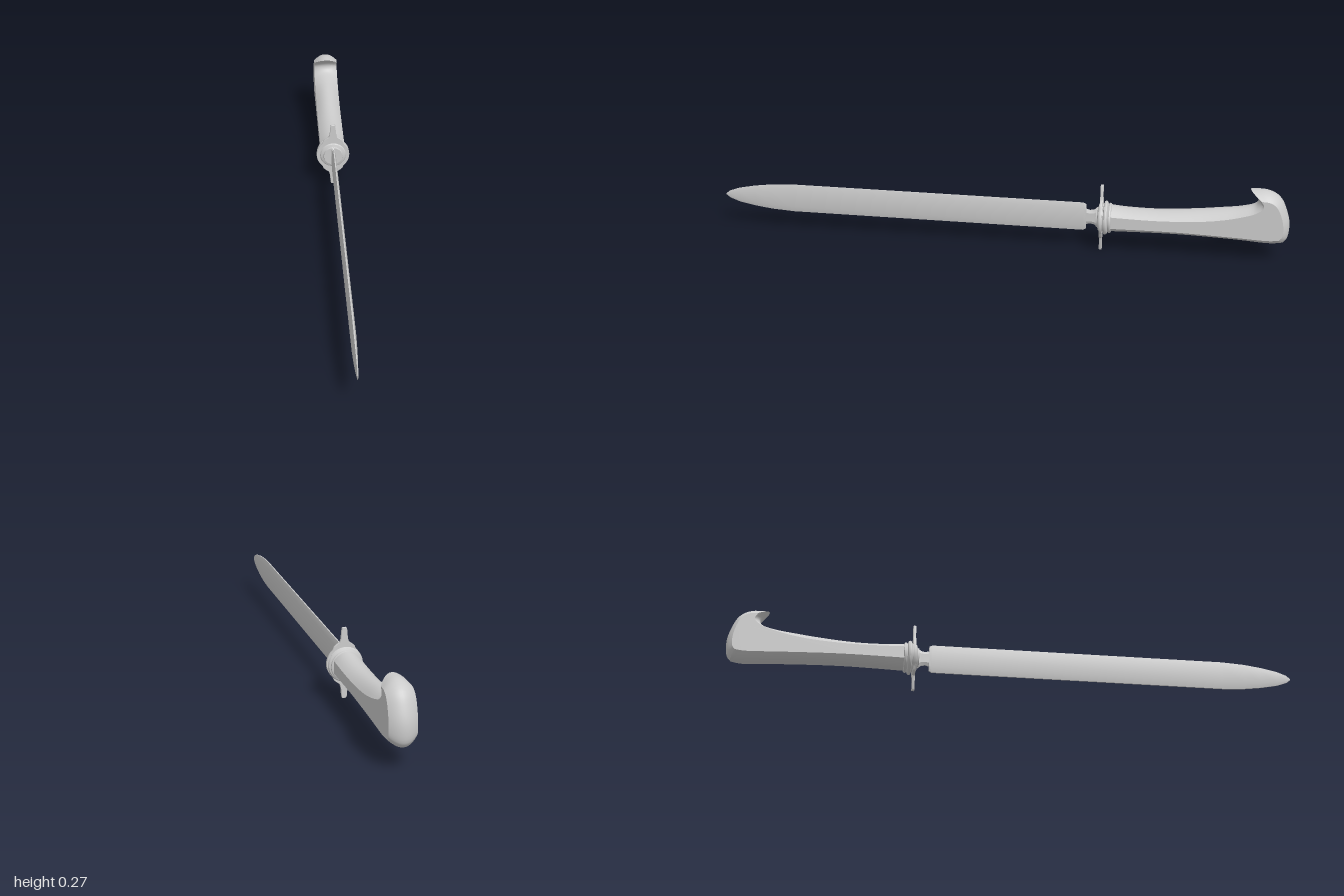
import * as THREE from 'three';
import { toCreasedNormals } from 'three/addons/utils/BufferGeometryUtils.js';

const AXIS_Y = 0.125; // height of the blade's centre line
const grey = new THREE.MeshStandardMaterial({ color: 0xcccccc });

// Crease at a larger scale, so that close vertices stay apart
function crease(geo, angle) {
  const g = toCreasedNormals(geo.scale(100, 100, 100), angle);
  return g.scale(0.01, 0.01, 0.01);
}

// Skin a list of rings (anticlockwise seen from the last ring) and cap both ends
function loft(rings, to2d, angle) {
  const n = rings[0].length, last = (rings.length - 1) * n;
  const index = [];
  for (let i = 0; i < rings.length - 1; i++) {
    for (let j = 0; j < n; j++) {
      const a = i * n + j, b = i * n + (j + 1) % n;
      index.push(a, b, b + n, a, b + n, a + n);
    }
  }
  const cap = (ring) => THREE.ShapeUtils.triangulateShape(ring.map(to2d), []);
  for (const [a, b, c] of cap(rings[0])) index.push(c, b, a);
  for (const [a, b, c] of cap(rings[rings.length - 1])) index.push(last + a, last + b, last + c);
  const geo = new THREE.BufferGeometry().setFromPoints(rings.flat());
  geo.setIndex(index);
  return crease(geo, angle);
}

function addPart(group, name, geo) {
  const mesh = new THREE.Mesh(geo, grey);
  mesh.name = name;
  group.add(mesh);
}

// Blade: bevelled section, [z, half height, half thickness] from tang to tip
function bladeGeometry() {
  const stations = [
    [-0.36, 0.04, 0.007], [-0.342, 0.038, 0.007], [-0.33, 0.028, 0.007], [-0.315, 0.025, 0.007],
    [-0.303, 0.029, 0.007], [-0.302, 0.046, 0.007], [-0.292, 0.052, 0.007], [0.75, 0.052, 0.007],
    [0.83, 0.047, 0.007], [0.89, 0.039, 0.006], [0.95, 0.027, 0.004], [0.985, 0.014, 0.002],
    [1, 0.002, 0.0005],
  ];
  const section = [[1, -0.6], [1, 0.6], [0.3, 1], [-0.3, 1], [-1, 0.6], [-1, -0.6], [-0.3, -1], [0.3, -1]];
  const rings = stations.map(([z, h, t]) =>
    section.map(([x, y]) => new THREE.Vector3(x * t, AXIS_Y + y * h, z)));
  return loft(rings, (p) => new THREE.Vector2(p.x, p.y), 0.3);
}

// Guard plate: round disc with a tapering spike above and below
function guardGeometry() {
  const quarter = [[0.006, 0.122], [0.008, 0.118], [0.011, 0.085], [0.015, 0.072], [0.024, 0.066], [0.034, 0.058]];
  for (let i = 1; i <= 6; i++) {
    const a = 1.04 * (1 - i / 6);
    quarter.push([0.06 * Math.cos(a), 0.06 * Math.sin(a)]);
  }
  const half = [...quarter, ...quarter.slice(0, -1).reverse().map(([x, y]) => [x, -y])];
  const outline = [...half, ...half.map(([x, y]) => [-x, -y])];
  const shape = new THREE.Shape(outline.map(([x, y]) => new THREE.Vector2(x, y)));
  const geo = new THREE.ExtrudeGeometry(shape, {
    depth: 0.006, bevelThickness: 0.002, bevelSize: 0.001, bevelSegments: 1,
  });
  return crease(geo.translate(0, AXIS_Y, -0.358), 0.6);
}

// Collar turned around the blade axis, points [radius, z] from back to front
function collarGeometry(points) {
  const geo = new THREE.LatheGeometry(points.map(([r, z]) => new THREE.Vector2(r, z)), 40);
  return crease(geo.rotateX(Math.PI / 2).translate(0, AXIS_Y, 0), 0.6);
}

// Grip outline [z, y]: top edge to hook tip, round the pommel, and back underneath
const gripCentre = [
  [[-0.375, 0.176], [-0.44, 0.169], [-0.556, 0.168], [-0.69, 0.18], [-0.77, 0.19], [-0.84, 0.199], [-0.882, 0.212], [-0.89, 0.235], [-0.861, 0.268]],
  [[-0.861, 0.268], [-0.92, 0.266], [-0.963, 0.243], [-0.988, 0.195], [-1, 0.147], [-0.996, 0.095], [-0.983, 0.077]],
  [[-0.983, 0.077], [-0.945, 0.071], [-0.82, 0.078], [-0.61, 0.084], [-0.375, 0.078]],
];
const gripEdge = [
  [[-0.375, 0.148], [-0.44, 0.146], [-0.556, 0.145], [-0.69, 0.152], [-0.77, 0.163], [-0.84, 0.18], [-0.885, 0.197], [-0.908, 0.22], [-0.898, 0.242]],
  [[-0.898, 0.242], [-0.93, 0.238], [-0.952, 0.222], [-0.968, 0.19], [-0.978, 0.147], [-0.976, 0.112], [-0.966, 0.1]],
  [[-0.966, 0.1], [-0.935, 0.096], [-0.82, 0.1], [-0.61, 0.106], [-0.375, 0.104]],
];

function smoothOutline(runs) {
  const pts = runs.flatMap((run, i) => {
    const curve = new THREE.CatmullRomCurve3(run.map(([z, y]) => new THREE.Vector3(0, y, z)));
    const p = curve.getPoints((run.length - 1) * 4);
    return i < runs.length - 1 ? p.slice(0, -1) : p;
  });
  return pts.reverse();
}

// Grip: flat sides, with the outline swelling to a rounded crown at the middle
function gripGeometry() {
  const centre = smoothOutline(gripCentre), edge = smoothOutline(gripEdge);
  const rings = [];
  for (let i = 0; i <= 12; i++) {
    const s = i / 6 - 1;
    rings.push(centre.map((p, j) => {
      const q = p.clone().lerp(edge[j], s * s);
      q.x = 0.045 * s;
      return q;
    }));
  }
  return loft(rings, (p) => new THREE.Vector2(p.y, p.z), 0.6);
}

export function createModel() {
  const model = new THREE.Group();
  model.name = 'dagger';
  addPart(model, 'blade', bladeGeometry());
  addPart(model, 'guard', guardGeometry());
  addPart(model, 'frontCollar', collarGeometry([
    [0, -0.356], [0.048, -0.356], [0.048, -0.35], [0.045, -0.346], [0.036, -0.343], [0.034, -0.338], [0, -0.338],
  ]));
  addPart(model, 'backCollar', collarGeometry([
    [0, -0.392], [0.045, -0.392], [0.052, -0.389], [0.053, -0.384], [0.05, -0.379], [0.057, -0.376],
    [0.06, -0.371], [0.058, -0.366], [0.05, -0.363], [0.05, -0.355], [0, -0.355],
  ]));
  addPart(model, 'grip', gripGeometry());
  return model;
}
